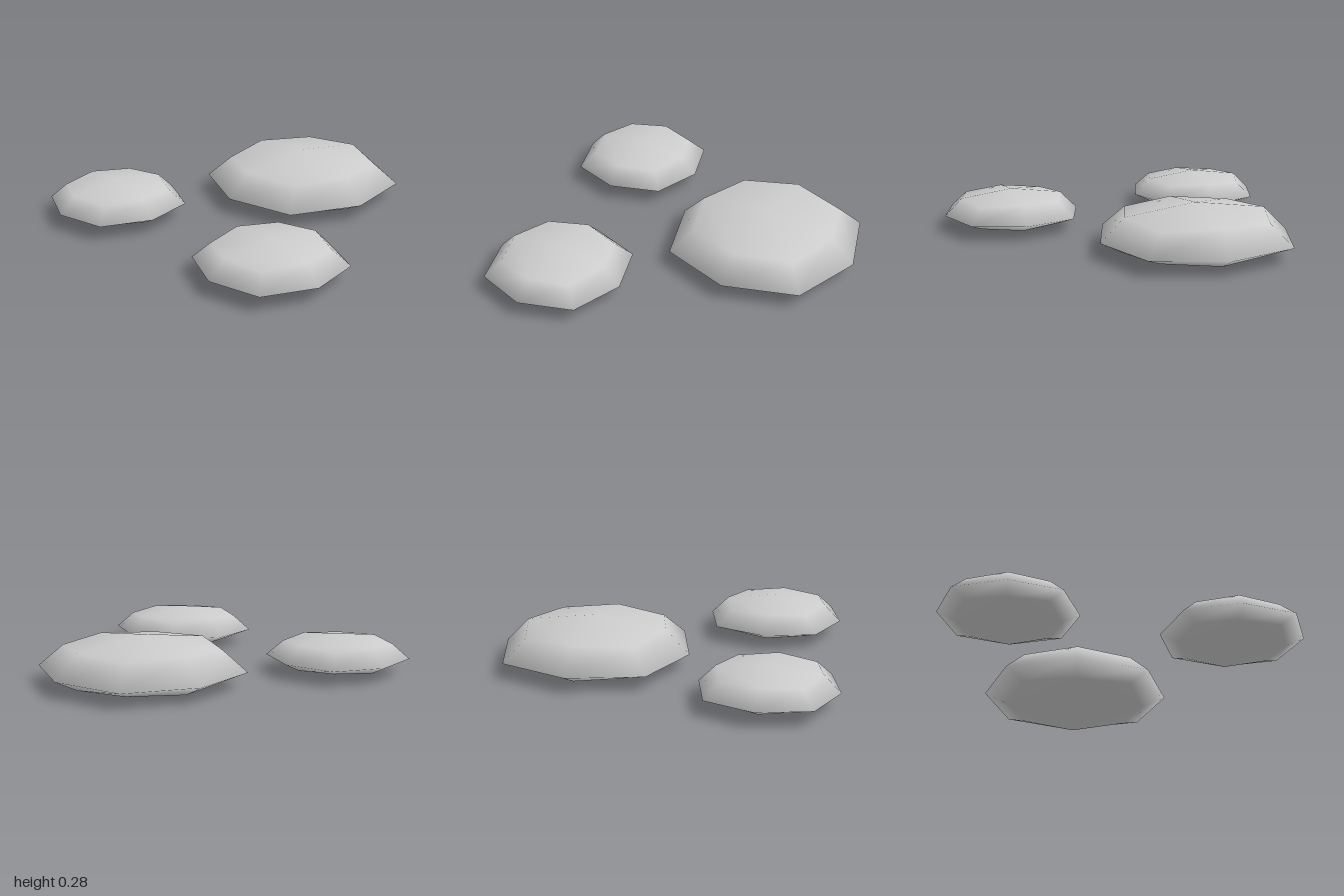
import * as THREE from 'three';
import { mergeVertices } from 'three/addons/utils/BufferGeometryUtils.js';

// Unit pebble: a 2x2x2 box rounded once, flattened more below than above.
// Index = how many axes a vertex lies out on: 1 face centre, 2 edge, 3 corner.
const SPREAD = [0, 1, 0.752, 0.57];
const RISE = [0, 0.352, 0.249, 0.222];
const DROP = [0, 0.157, 0.118, 0.09];

function pebbleGeometry() {
  let geometry = new THREE.BoxGeometry(2, 2, 2, 2, 2, 2);
  geometry.deleteAttribute('uv');
  geometry.deleteAttribute('normal');
  geometry = mergeVertices(geometry);
  const p = geometry.attributes.position;
  for (let i = 0; i < p.count; i++) {
    const [x, y, z] = [p.getX(i), p.getY(i), p.getZ(i)].map(Math.round);
    const n = Math.abs(x) + Math.abs(y) + Math.abs(z);
    p.setXYZ(i, x * SPREAD[n], y * (y > 0 ? RISE[n] : DROP[n]), z * SPREAD[n]);
  }
  geometry.computeVertexNormals();
  return geometry;
}

export function createModel() {
  const group = new THREE.Group();
  group.name = 'steppingStones';
  const geometry = pebbleGeometry();
  const material = new THREE.MeshStandardMaterial({ color: 0xcccccc });

  // name, x, z, radius; all share the same waist height
  const stones = [
    ['largeStone', -0.233, -0.455, 0.545],
    ['leftStone', 0.6, 0.42, 0.398],
    ['rightStone', -0.62, 0.62, 0.38],
  ];
  for (const [name, x, z, radius] of stones) {
    const stone = new THREE.Mesh(geometry, material);
    stone.name = name;
    stone.position.set(x, 0.088, z);
    stone.scale.setScalar(radius);
    group.add(stone);
  }
  return group;
}
